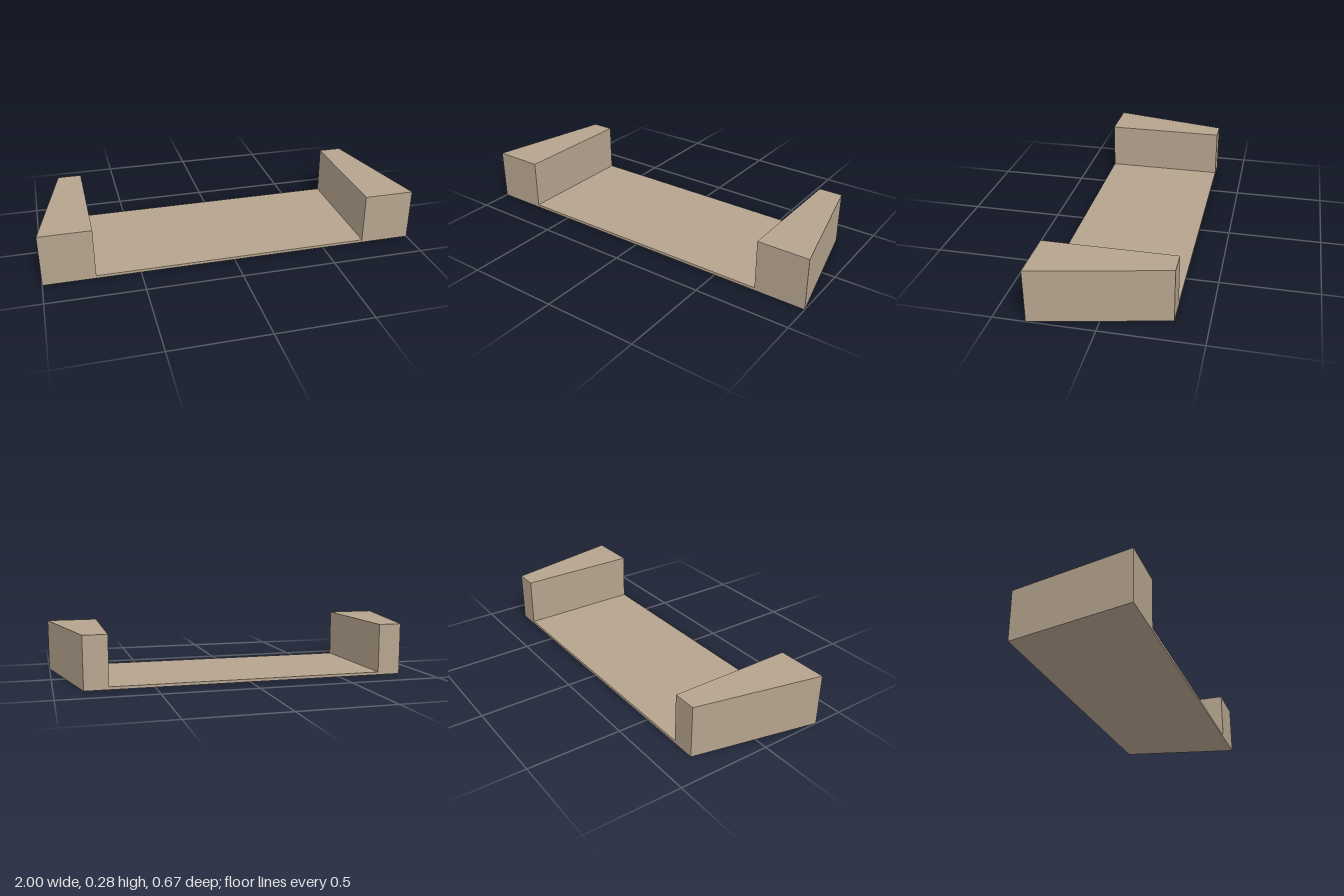
import * as THREE from 'three';

const HALF_DEPTH = 0.335;   // front at +z, back at -z
const INNER_X = 0.73;       // inner face of each end block
const FRONT_X = 1;          // outer corner at the front
const BACK_X = 0.855;       // outer corner at the back
const BLOCK_HEIGHT = 0.277;
const FLOOR_HEIGHT = 0.015;

// Upright prism from a plan outline of [x, z] corners, standing on y = 0
function prism(name, outline, height, material) {
  const shape = new THREE.Shape(outline.map(([x, z]) => new THREE.Vector2(x, -z)));
  const geometry = new THREE.ExtrudeGeometry(shape, { depth: height, bevelEnabled: false });
  geometry.rotateX(-Math.PI / 2);
  const mesh = new THREE.Mesh(geometry, material);
  mesh.name = name;
  return mesh;
}

export function createModel() {
  const group = new THREE.Group();
  group.name = 'taperedTray';
  const tan = new THREE.MeshStandardMaterial({ color: 0xb5a48e });
  tan.name = 'tan';

  // Thin floor between the end blocks
  group.add(prism('floor', [
    [-INNER_X, HALF_DEPTH], [INNER_X, HALF_DEPTH],
    [INNER_X, -HALF_DEPTH], [-INNER_X, -HALF_DEPTH],
  ], FLOOR_HEIGHT, tan));

  // End blocks, narrowing toward the back
  for (const [name, side] of [['leftBlock', 1], ['rightBlock', -1]]) {
    group.add(prism(name, [
      [side * INNER_X, HALF_DEPTH], [side * FRONT_X, HALF_DEPTH],
      [side * BACK_X, -HALF_DEPTH], [side * INNER_X, -HALF_DEPTH],
    ], BLOCK_HEIGHT, tan));
  }
  return group;
}
